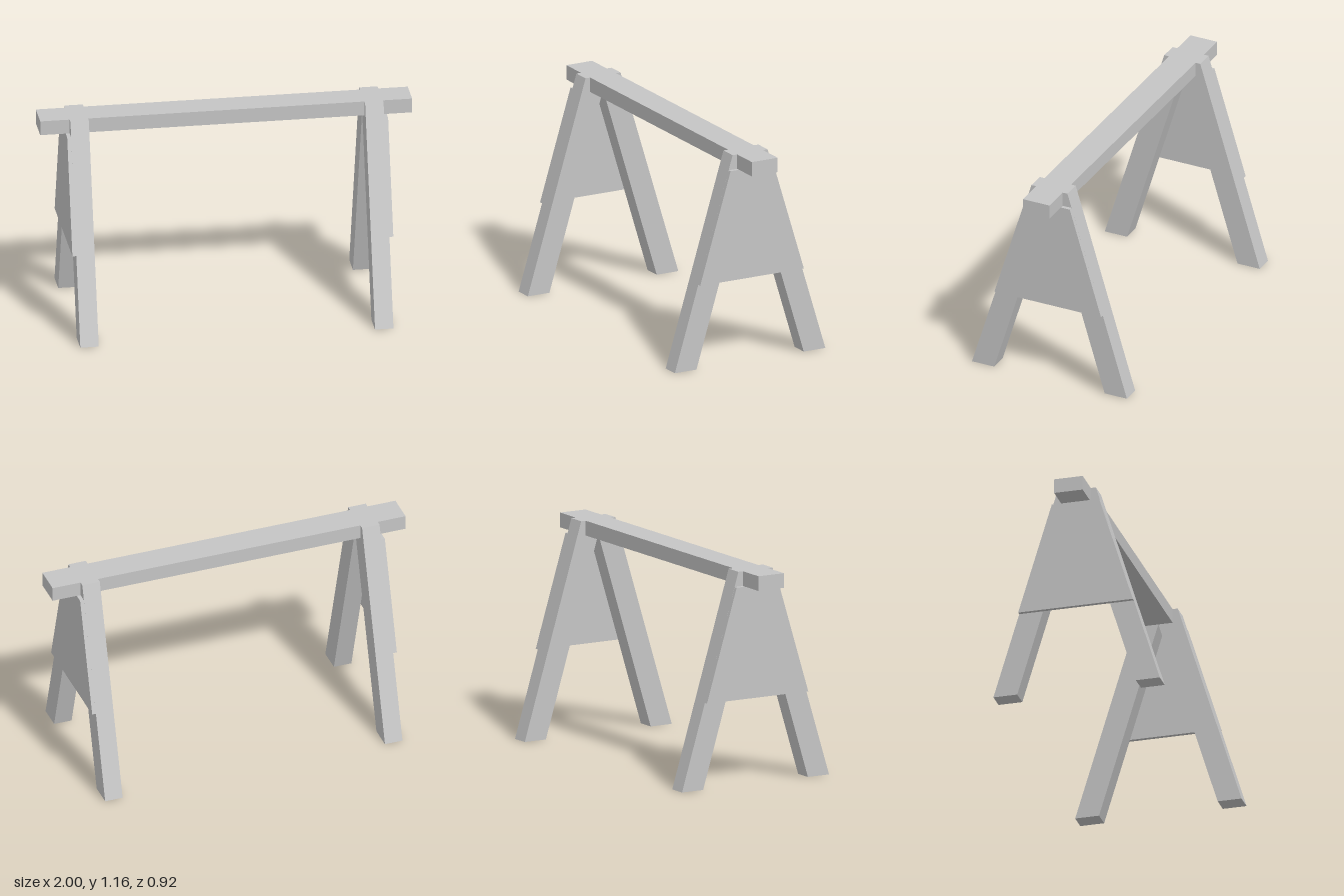
import * as THREE from 'three';

// Extrude a (z, y) outline along x, from x0 to x1
function slab(points, x0, x1) {
  const shape = new THREE.Shape(points.map(([z, y]) => new THREE.Vector2(z, y)));
  const geo = new THREE.ExtrudeGeometry(shape, { depth: x1 - x0, bevelEnabled: false });
  geo.rotateY(-Math.PI / 2);
  geo.translate(x1, 0, 0);
  return geo;
}

export function createModel() {
  const model = new THREE.Group();
  model.name = 'sawhorse';
  const grey = new THREE.MeshStandardMaterial({ color: 0xc4c4c4 });
  grey.name = 'light grey';

  const add = (name, geo) => {
    const mesh = new THREE.Mesh(geo, grey);
    mesh.name = name;
    model.add(mesh);
  };

  // Top rail
  add('topRail', new THREE.BoxGeometry(2, 0.08, 0.158).translate(0, 1.12, 0));

  // Splayed leg, notched at the top to hold the rail
  const leg = [[0.46, 0], [0.107, 1.16], [0.079, 1.16], [0.079, 1.08], [0, 1.08], [0.328, 0]];
  // Gusset board joining each pair of legs
  const gusset = [[-0.317, 0.47], [0.317, 0.47], [0.131, 1.08], [-0.131, 1.08]];

  for (const side of [1, -1]) {
    const label = side > 0 ? 'left' : 'right';
    const span = (a, b) => (side > 0 ? [a, b] : [-b, -a]);
    for (const dir of [1, -1]) {
      const outline = leg.map(([z, y]) => [z * dir, y]);
      add(`${label}${dir > 0 ? 'Front' : 'Back'}Leg`, slab(outline, ...span(0.743, 0.842)));
    }
    add(`${label}Gusset`, slab(gusset, ...span(0.842, 0.863)));
  }
  return model;
}
